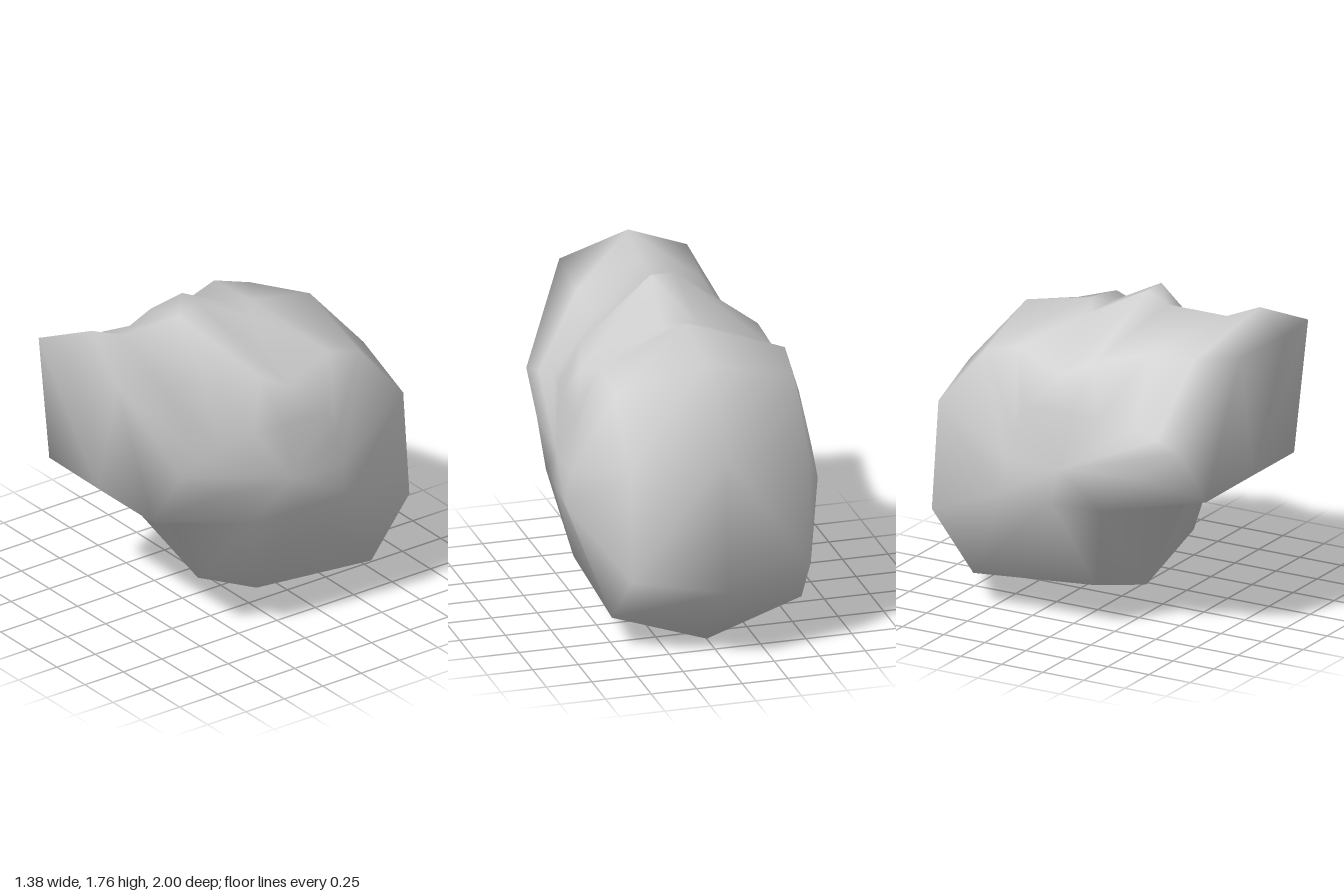
import * as THREE from 'three';
import { mergeVertices } from 'three/addons/utils/BufferGeometryUtils.js';

// Each row runs from the centre line out to the side: centre, middle, side.
// Repeated points pinch the surface to a single corner.
const muzzleCorner = [0.35, 1.6, 0.93];
const muzzleSide = [0.6, 1.1, 0.7];
const jawCorner = [0.63, 0.705, 0.24];
const widest = [0.69, 0.73, -0.33];
const rows = [
  [[0, 1.63, 1], muzzleCorner, muzzleSide], // muzzle tip
  [[0, 1.76, 0.84], muzzleCorner, muzzleSide], // muzzle top
  [[0, 1.675, 0.64], [0.34, 1.53, 0.64], [0.575, 1.14, 0.55]],
  [[0, 1.675, 0.28], [0.32, 1.51, 0.36], [0.54, 1.17, 0.4]],
  [[0.07, 1.76, 0.2], [0.49, 1.46, 0.1], [0.57, 1.2, 0.2]], // brow hump
  [[0.1, 1.587, -0.13], [0.53, 1.38, -0.06], [0.6, 1.2, 0.03]],
  [[0, 1.63, -0.19], [0.51, 1.49, -0.33], [0.61, 1.2, -0.25]], // crown
  [[0, 1.55, -0.58], [0.49, 1.42, -0.55], [0.637, 1.05, -0.28]],
  [[0, 1.155, -0.93], [0.49, 1.09, -0.83], [0.663, 0.9, -0.31]], // back
  [[0, 0.415, -1], [0.49, 0.48, -0.87], widest],
  [[0, 0, -0.6], [0.52, 0.18, -0.6], widest], // underside
  [[0, 0.09, 0.15], [0.51, 0.24, 0.14], [0.66, 0.717, -0.05]],
  [[0, 0.63, 0.4], jawCorner, jawCorner], // throat
  [[0, 0.815, 0.8], [0.46, 0.8, 0.78], [0.615, 0.92, 0.46]], // chin
];
const cheek = [0.645, 0.9, 0];

export function createModel() {
  const grey = new THREE.MeshStandardMaterial({ color: 0xcccccc });
  grey.name = 'grey';

  // Mirror every row into a full strip from the right cheek to the left cheek
  const strips = rows.map((row) => {
    const half = [...row, cheek];
    const mirrored = half.map(([x, y, z]) => [-x, y, z]).reverse();
    return [...mirrored, ...half];
  });

  // Join neighbouring strips in a closed loop, skipping collapsed triangles
  const positions = [];
  const same = (p, q) => p.every((v, k) => Math.abs(v - q[k]) < 1e-6);
  const addTriangle = (a, b, c) => {
    if (!same(a, b) && !same(b, c) && !same(a, c)) positions.push(...a, ...b, ...c);
  };
  strips.forEach((strip, i) => {
    const next = strips[(i + 1) % strips.length];
    for (let j = 0; j < strip.length - 1; j++) {
      if (j < strip.length / 2) { // opposite diagonals keep the halves symmetric
        addTriangle(strip[j], strip[j + 1], next[j]);
        addTriangle(strip[j + 1], next[j + 1], next[j]);
      } else {
        addTriangle(strip[j], strip[j + 1], next[j + 1]);
        addTriangle(strip[j], next[j + 1], next[j]);
      }
    }
  });

  let geometry = new THREE.BufferGeometry();
  geometry.setAttribute('position', new THREE.Float32BufferAttribute(positions, 3));
  geometry = mergeVertices(geometry);
  geometry.computeVertexNormals();

  const head = new THREE.Mesh(geometry, grey);
  head.name = 'head';
  const model = new THREE.Group();
  model.name = 'headModel';
  model.add(head);
  return model;
}
